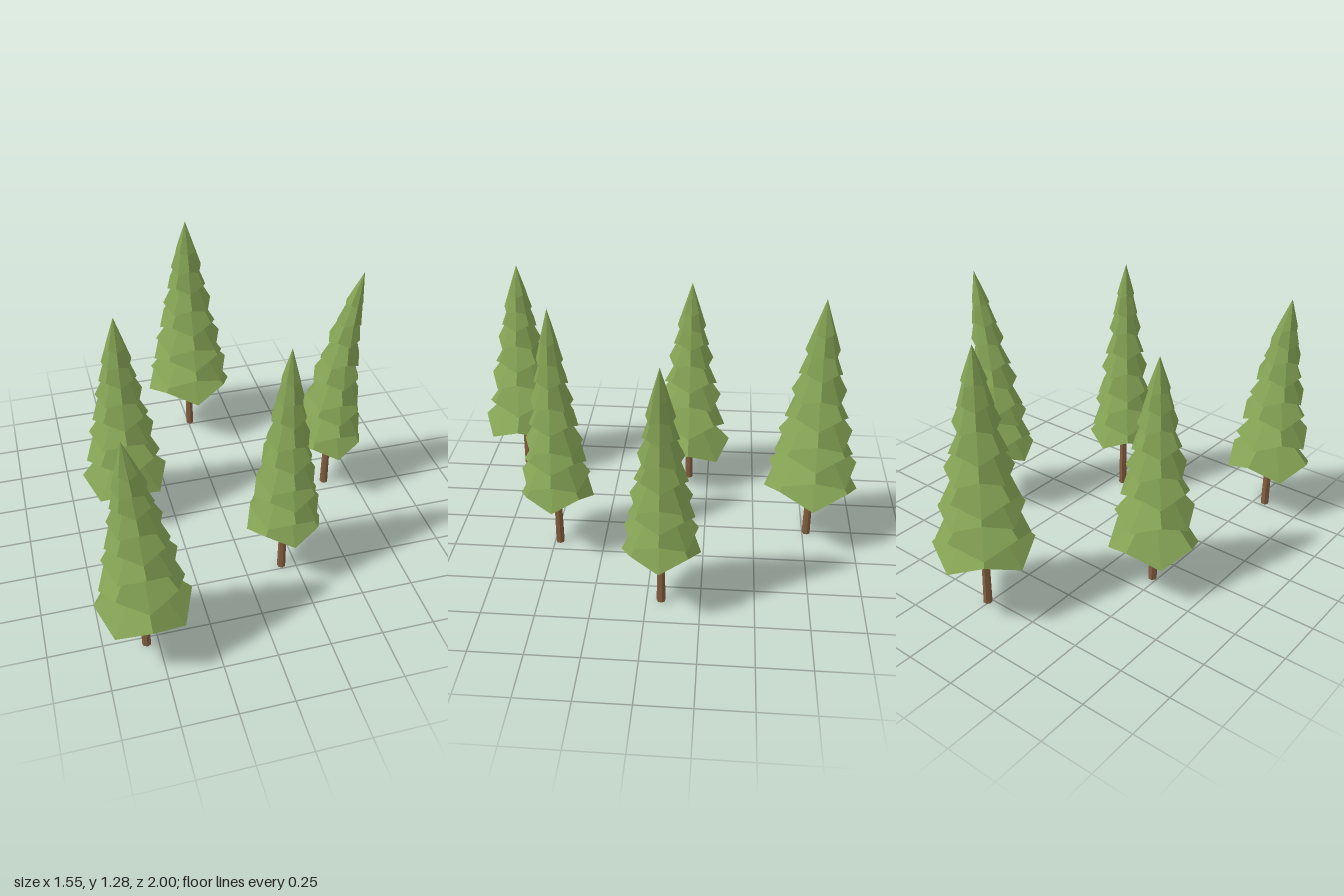
import * as THREE from 'three';

const SIDES = 8;

// Tier heights as fractions of the canopy; the rim zigzags, flipping on every tier
const LOW_START = [0, 0.09, 0.2, 0.28, 0.4, 0.51, 0.63, 0.73, 0.83];
const HIGH_START = [0, 0.16, 0.3, 0.42, 0.54, 0.65, 0.74, 0.83];

const TREES = [
  { x: 0.01, z: -0.77, radius: 0.23, base: 0.315, top: 1.285, lean: 0, tiers: LOW_START, sign: -1 },
  { x: -0.475, z: -0.145, radius: 0.215, base: 0.225, top: 1.155, lean: 0, tiers: HIGH_START, sign: 1 },
  { x: 0.595, z: -0.068, radius: 0.18, base: 0.315, top: 1.265, lean: 0.12, tiers: LOW_START, sign: -1 },
  { x: 0.18, z: 0.475, radius: 0.18, base: 0.315, top: 1.27, lean: 0, tiers: LOW_START, sign: -1 },
  { x: -0.555, z: 0.783, radius: 0.217, base: 0.28, top: 1.175, lean: -0.045, tiers: HIGH_START, sign: 1 },
];

// One skirt of branches: zigzag rim, pointed top and hollow underside
function skirtGeometry(radius, zigzag, topY, topX, hollow) {
  const rim = [];
  for (let i = 0; i < SIDES; i++) {
    const a = (i / SIDES) * Math.PI * 2;
    rim.push([Math.sin(a) * radius, i % 2 ? -zigzag : zigzag, Math.cos(a) * radius]);
  }
  const points = [];
  for (let i = 0; i < SIDES; i++) {
    const p = rim[i], q = rim[(i + 1) % SIDES];
    points.push(...p, ...q, topX, topY, 0);
    points.push(...q, ...p, 0, hollow, 0);
  }
  const geometry = new THREE.BufferGeometry();
  geometry.setAttribute('position', new THREE.Float32BufferAttribute(points, 3));
  geometry.computeVertexNormals();
  return geometry;
}

function createTree(spec, foliage, bark) {
  const tree = new THREE.Group();
  tree.name = 'pineTree';
  tree.position.set(spec.x, 0, spec.z);
  const height = spec.top - spec.base;
  const leanAt = (f) => spec.lean * f * f;

  // Trunk
  const trunkHeight = spec.base + 0.2;
  const trunk = new THREE.Mesh(new THREE.CylinderGeometry(0.016, 0.021, trunkHeight, 7), bark);
  trunk.name = 'trunk';
  trunk.position.y = trunkHeight / 2;
  tree.add(trunk);

  // Canopy of overlapping skirts
  const canopy = new THREE.Group();
  canopy.name = 'canopy';
  spec.tiers.forEach((f, i) => {
    const radius = spec.radius * Math.pow(1 - f, 0.8);
    const last = i === spec.tiers.length - 1;
    const topF = last ? 1 : Math.min(1, f + 0.27);
    const zigzag = radius * 0.15 * spec.sign * (i % 2 ? -1 : 1);
    const rise = (topF - f) * height;
    const skirt = new THREE.Mesh(
      skirtGeometry(radius, zigzag, rise, leanAt(topF) - leanAt(f), rise * 0.45), foliage);
    skirt.name = 'branchSkirt';
    skirt.position.set(leanAt(f), spec.base + f * height, 0);
    canopy.add(skirt);
  });
  tree.add(canopy);
  return tree;
}

export function createModel() {
  const foliage = new THREE.MeshStandardMaterial({ color: 0x84a254, flatShading: true });
  foliage.name = 'pine green';
  const bark = new THREE.MeshStandardMaterial({ color: 0x855f40, flatShading: true });
  bark.name = 'bark brown';

  const model = new THREE.Group();
  model.name = 'pineGrove';
  for (const spec of TREES) model.add(createTree(spec, foliage, bark));
  return model;
}
